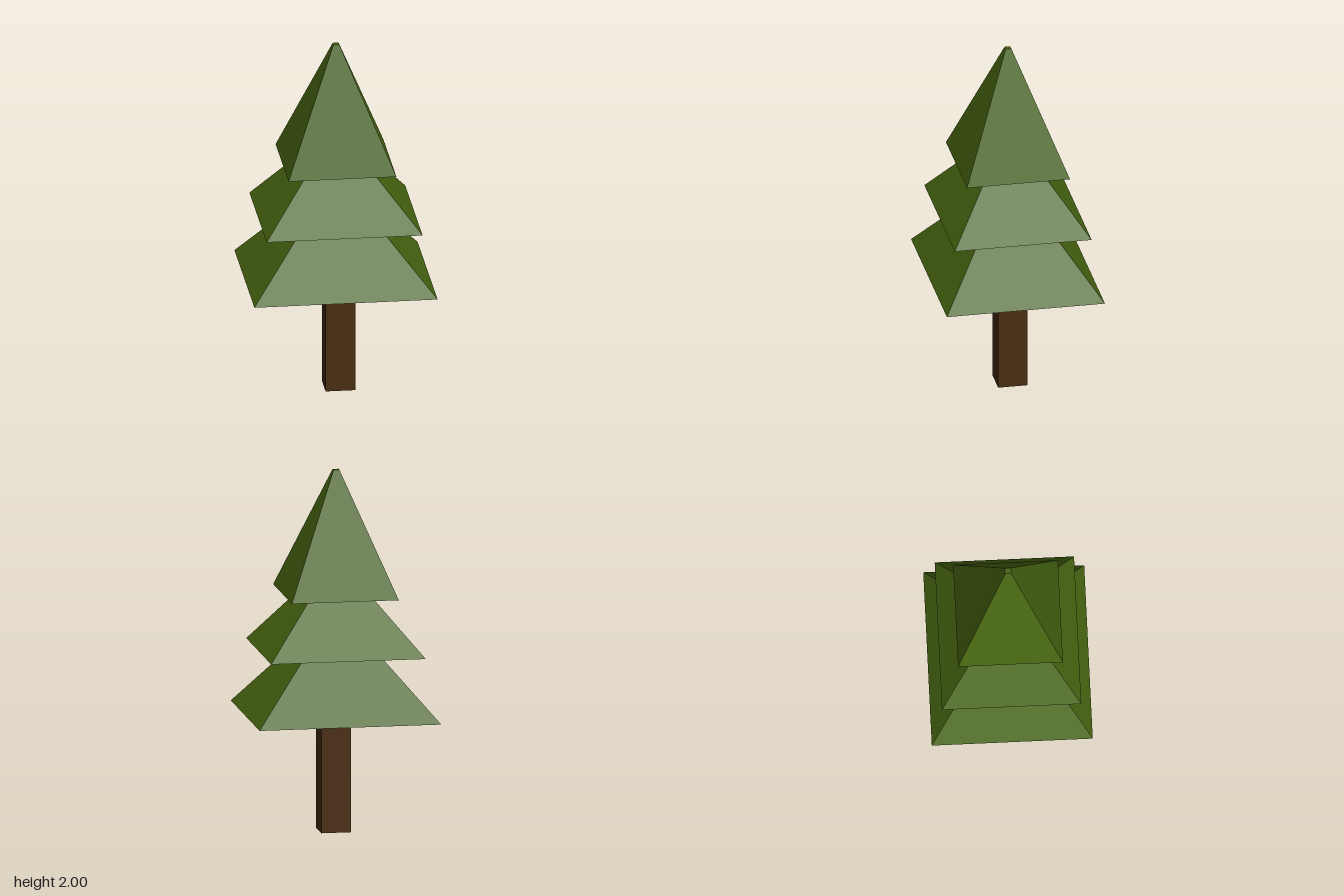
import * as THREE from 'three';

// Box whose top face is narrowed, giving a flat-sided truncated pyramid
function frustum(halfX, halfZ, topX, topZ, y0, y1) {
  const geo = new THREE.BoxGeometry(2, y1 - y0, 2);
  geo.translate(0, (y0 + y1) / 2, 0);
  const pos = geo.attributes.position;
  const middle = (y0 + y1) / 2;
  for (let i = 0; i < pos.count; i++) {
    const top = pos.getY(i) > middle;
    pos.setX(i, pos.getX(i) * (top ? topX : halfX));
    pos.setZ(i, pos.getZ(i) * (top ? topZ : halfZ));
  }
  geo.computeVertexNormals();
  return geo;
}

export function createModel() {
  const tree = new THREE.Group();
  tree.name = 'pineTree';

  const green = new THREE.MeshStandardMaterial({ color: 0x476510 });
  green.name = 'needleGreen';
  const brown = new THREE.MeshStandardMaterial({ color: 0x492d11 });
  brown.name = 'barkBrown';
  green.flatShading = brown.flatShading = true;

  // Square trunk, slightly off centre
  const trunk = new THREE.Mesh(new THREE.BoxGeometry(0.164, 0.68, 0.164), brown);
  trunk.name = 'trunk';
  trunk.position.set(0.016, 0.34, -0.008);
  tree.add(trunk);

  // Foliage tiers: half widths at base and top, then heights
  const tiers = [
    ['lowerFoliage', 0.503, 0.439, 0.016, 0.016, 0.65, 1.22],
    ['middleFoliage', 0.428, 0.38, 0.016, 0.016, 1.005, 1.5],
    ['upperFoliage', 0.296, 0.286, 0.016, 0.016, 1.318, 2.0],
  ];
  for (const [name, ...dims] of tiers) {
    const tier = new THREE.Mesh(frustum(...dims), green);
    tier.name = name;
    tree.add(tier);
  }
  return tree;
}
